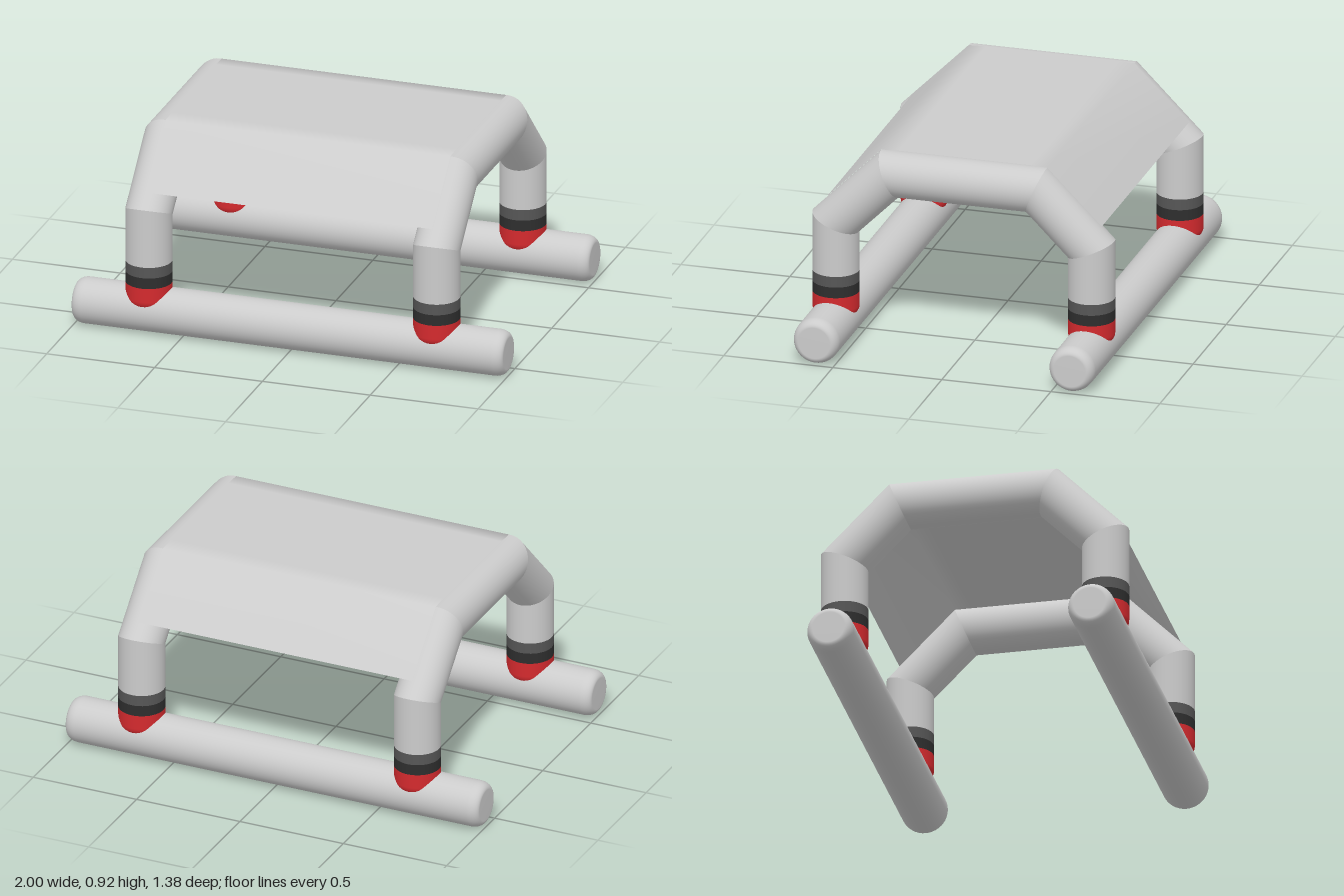
import * as THREE from 'three';

const R = 0.104;           // radius shared by all tubes
const LEG_X = 0.667;       // side offset of each arch
const LEG_Z = 0.586;       // front/back offset of legs and bars
const BAR_Y = 0.106;
const SIDES = 40;
const MITRE = Math.tan(Math.PI / 8);

const mat = (color, side = THREE.FrontSide) =>
  new THREE.MeshStandardMaterial({ color, side, roughness: 0.7 });

const grey = mat(0xcccccc);
const openGrey = mat(0xcccccc, THREE.DoubleSide);
const red = mat(0xd42a2e);
const black = mat(0x2e2e2e);
const darkGrey = mat(0x565656);

function add(parent, name, geometry, material) {
  const mesh = new THREE.Mesh(geometry, material);
  mesh.name = name;
  parent.add(mesh);
  return mesh;
}

// Quarter-ellipse rounding from the axis end out to the full radius
function roundedEnd(y, height, inset, steps = 8) {
  const pts = [new THREE.Vector2(0, y)];
  for (let i = 0; i <= steps; i++) {
    const a = (i / steps) * Math.PI / 2;
    pts.push(new THREE.Vector2(R - inset + inset * Math.sin(a), y + height * (1 - Math.cos(a))));
  }
  return pts;
}

// Straight tube from a to b (z, y pairs), ends cut on the mitre of the bend
function mitredTube(a, b, angle, mitreA, mitreB) {
  const length = Math.hypot(b[0] - a[0], b[1] - a[1]);
  const geo = new THREE.CylinderGeometry(R, R, length, SIDES, 1, true);
  const p = geo.attributes.position;
  for (let i = 0; i < p.count; i++) {
    const y = p.getY(i);
    const shift = p.getZ(i) * MITRE;
    p.setY(i, y > 0 ? y + shift * mitreB : y - shift * mitreA);
  }
  geo.rotateX(angle);
  geo.translate(0, (a[1] + b[1]) / 2, (a[0] + b[0]) / 2);
  return geo;
}

// Coloured collars and rounded foot at the bottom of a leg
function addLegEnd(arch, z) {
  const end = new THREE.Group();
  end.name = 'legEnd';
  end.position.z = z;
  const foot = [...roundedEnd(0.125, 0.045, 0.045), new THREE.Vector2(R, 0.235)];
  add(end, 'foot', new THREE.LatheGeometry(foot, SIDES), red);
  const band = (name, y, h, material) =>
    add(end, name, new THREE.CylinderGeometry(R, R, h, SIDES, 1, true), material).position.y = y + h / 2;
  band('lowerCollar', 0.235, 0.05, black);
  band('upperCollar', 0.285, 0.05, darkGrey);
  arch.add(end);
}

// One side arch: leg, slope, top rail, slope, leg
function makeArch(x) {
  const arch = new THREE.Group();
  arch.name = x > 0 ? 'leftArch' : 'rightArch';
  arch.position.x = x;
  const path = [
    [LEG_Z, 0.335], [LEG_Z, 0.563], [0.337, 0.812],
    [-0.337, 0.812], [-LEG_Z, 0.563], [-LEG_Z, 0.335],
  ];
  const names = ['frontLeg', 'frontSlope', 'topRail', 'backSlope', 'backLeg'];
  names.forEach((name, i) => {
    const geo = mitredTube(path[i], path[i + 1], -i * Math.PI / 4, i > 0 ? 1 : 0, i < 4 ? 1 : 0);
    add(arch, name, geo, openGrey);
  });
  for (const s of [1, -1]) addLegEnd(arch, s * LEG_Z);
  return arch;
}

// Bar with softly rounded ends lying along x
function makeBarGeometry() {
  const half = roundedEnd(-1, 0.05, 0.032);
  const mirrored = half.map(p => new THREE.Vector2(p.x, -p.y)).reverse();
  const geo = new THREE.LatheGeometry([...half, ...mirrored], SIDES);
  geo.rotateZ(-Math.PI / 2);
  return geo;
}

// Thin smooth sheet resting on the arches
function makeCanopyGeometry() {
  const profile = [[0.63, 0.667], [0.38, 0.916], [0.3, 0.919], [-0.3, 0.919], [-0.38, 0.916], [-0.63, 0.667]];
  const positions = [];
  const index = [];
  profile.forEach(([z, y], i) => {
    positions.push(-0.66, y, z, 0.66, y, z);
    if (i > 0) {
      const k = 2 * (i - 1);
      index.push(k, k + 1, k + 2, k + 1, k + 3, k + 2);
    }
  });
  const geo = new THREE.BufferGeometry();
  geo.setAttribute('position', new THREE.Float32BufferAttribute(positions, 3));
  geo.setIndex(index);
  geo.computeVertexNormals();
  return geo;
}

export function createModel() {
  const model = new THREE.Group();
  model.name = 'archedFrame';
  for (const s of [1, -1]) {
    model.add(makeArch(s * LEG_X));
    const bar = add(model, s > 0 ? 'frontBar' : 'backBar', makeBarGeometry(), grey);
    bar.position.set(0, BAR_Y, s * LEG_Z);
  }
  add(model, 'canopy', makeCanopyGeometry(), openGrey);
  return model;
}
